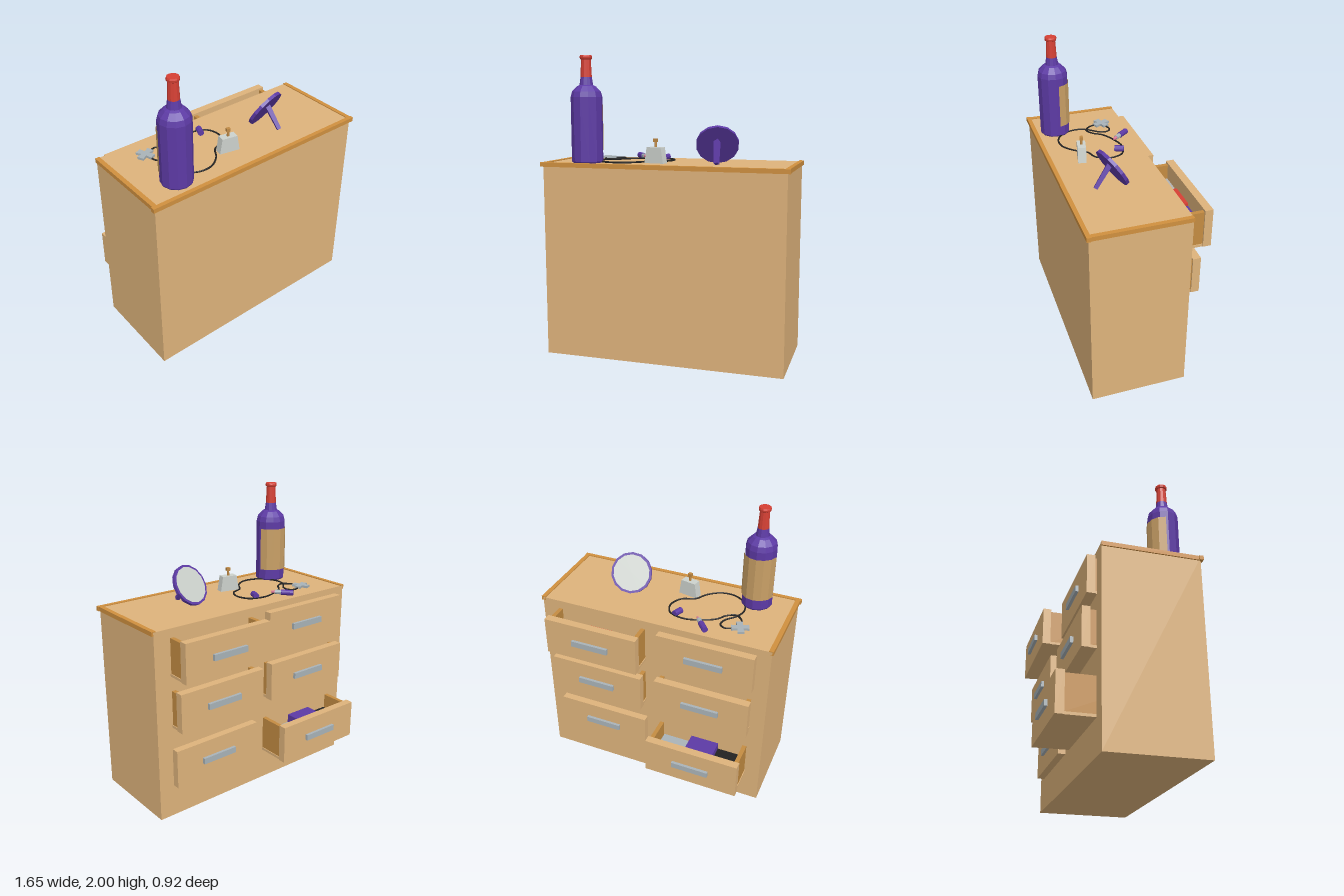
import * as THREE from 'three';

const mat = (color) => new THREE.MeshStandardMaterial({ color, flatShading: true });
const M = {
  wood: mat(0xdeb37b), trim: mat(0xd0903f), side: mat(0xc48c42), silver: mat(0xa9b3b8),
  purple: mat(0x5d3aa5), red: mat(0xd64034), black: mat(0x222222), grey: mat(0xb4b4b4),
  glass: mat(0xcdd2cd), label: mat(0xc9a066), pink: mat(0xe07a9a), stopper: mat(0xc08a45),
};
const TOP = 1.3; // height of the dresser top

function add(parent, name, geometry, material, x = 0, y = 0, z = 0) {
  const mesh = new THREE.Mesh(geometry, material);
  mesh.name = name;
  mesh.position.set(x, y, z);
  parent.add(mesh);
  return mesh;
}

// box given by its minimum and maximum on each axis
function box(parent, name, material, [x0, x1], [y0, y1], [z0, z1]) {
  return add(parent, name, new THREE.BoxGeometry(x1 - x0, y1 - y0, z1 - z0), material,
    (x0 + x1) / 2, (y0 + y1) / 2, (z0 + z1) / 2);
}

// straight rod from a to b
function rod(parent, name, material, a, b, r0, r1 = r0, sides = 10) {
  const p = new THREE.Vector3(...a), q = new THREE.Vector3(...b);
  const dir = q.clone().sub(p);
  const mesh = add(parent, name, new THREE.CylinderGeometry(r1, r0, dir.length(), sides), material);
  mesh.position.copy(p).add(q).multiplyScalar(0.5);
  mesh.quaternion.setFromUnitVectors(new THREE.Vector3(0, 1, 0), dir.normalize());
  return mesh;
}

function subgroup(parent, name, x, y, z, yaw = 0) {
  const g = new THREE.Group();
  g.name = name;
  g.position.set(x, y, z);
  g.rotation.set(0, yaw, 0, 'YXZ');
  parent.add(g);
  return g;
}

// open drawer: origin at the bottom centre of its front panel's outer face
function drawer(parent, x, y, z, contents = []) {
  const g = subgroup(parent, 'drawer', x, y, z);
  const w = 0.33, h = 0.265, back = 0.6;
  box(g, 'drawerFront', M.wood, [-w, w], [0, h], [0, 0.054]);
  box(g, 'drawerHandle', M.silver, [-0.13, 0.13], [0.112, 0.153], [-0.02, 0]);
  box(g, 'drawerBottom', M.wood, [-w + 0.005, w - 0.005], [0, 0.018], [0.054, back]);
  for (const s of [-1, 1]) {
    const xs = [s * 0.32, s * 0.292].sort((a, b) => a - b);
    box(g, 'drawerSide', M.side, xs, [0.018, h - 0.015], [0.054, back]);
  }
  box(g, 'drawerBack', M.side, [-0.292, 0.292], [0.018, h - 0.015], [back - 0.03, back]);
  contents.forEach(([name, material, x0, x1, top]) =>
    box(g, name, material, [x0, x1], [0.018, top], [0.056, back - 0.03]));
}

function dresser(root) {
  const g = subgroup(root, 'dresser', 0, 0, 0);
  box(g, 'cabinet', M.wood, [-0.808, 0.804], [0, TOP], [-0.205, 0.44]);
  // raised edging on three sides of the top
  for (const s of [-1, 1]) {
    const xs = [s * 0.787, s * 0.817].sort((a, b) => a - b);
    box(g, 'sideTrim', M.trim, xs, [1.277, 1.306], [-0.205, 0.43]);
  }
  box(g, 'frontTrim', M.trim, [-0.825, 0.822], [1.277, 1.306], [0.427, 0.455]);

  // two columns of drawers, pulled out by different amounts
  drawer(g, -0.388, 0.995, -0.27);
  drawer(g, -0.385, 0.64, -0.298);
  drawer(g, -0.382, 0.222, -0.444, [
    ['foldedBlackCloth', M.black, -0.285, -0.118, 0.15],
    ['foldedPurpleCloth', M.purple, -0.118, 0.08, 0.2],
    ['foldedGreyCloth', M.silver, 0.08, 0.288, 0.14]]);
  drawer(g, 0.367, 0.99, -0.38, [
    ['foldedGreyCloth', M.grey, -0.288, -0.117, 0.15],
    ['foldedRedCloth', M.red, -0.117, 0.078, 0.17],
    ['foldedPurpleCloth', M.purple, 0.078, 0.29, 0.15]]);
  drawer(g, 0.367, 0.64, -0.32);
  drawer(g, 0.367, 0.222, -0.255);
}

function bottle(root) {
  const g = subgroup(root, 'bottle', -0.552, TOP, 0.3);
  const lathe = (name, pts, material) =>
    add(g, name, new THREE.LatheGeometry(pts.map(p => new THREE.Vector2(...p)), 12), material);
  lathe('bottleGlass', [[0, 0], [0.098, 0], [0.104, 0.01], [0.104, 0.43], [0.095, 0.465],
    [0.062, 0.5], [0.045, 0.508], [0.037, 0.56], [0, 0.56]], M.purple);
  lathe('bottleFoil', [[0, 0.56], [0.037, 0.56], [0.032, 0.672], [0.039, 0.677],
    [0.041, 0.69], [0.037, 0.7], [0, 0.7]], M.red);
  const label = M.label.clone();
  label.side = THREE.DoubleSide;
  add(g, 'bottleLabel', new THREE.CylinderGeometry(0.109, 0.109, 0.3, 6, 1, true,
    Math.PI * 0.55, Math.PI * 0.9), label, 0, 0.23, 0);
}

function mirror(root) {
  const g = subgroup(root, 'standMirror', 0.296, 1.424, 0.135, 0.25);
  g.rotation.x = 0.53;
  const disc = (name, r, depth, material, z) =>
    add(g, name, new THREE.CylinderGeometry(r, r, depth, 14).rotateX(Math.PI / 2), material, 0, 0, z);
  disc('mirrorFrame', 0.141, 0.022, M.purple, 0);
  disc('mirrorGlass', 0.125, 0.004, M.glass, -0.0115);
  // prop behind the disc
  rod(root, 'mirrorProp', M.purple, [0.297, 1.455, 0.15], [0.32, 1.308, 0.255], 0.024, 0.018, 4);
}

function perfume(root) {
  const g = subgroup(root, 'perfume', -0.098, TOP, 0.228, -0.2);
  const flask = new THREE.BoxGeometry(0.14, 0.105, 0.056);
  const p = flask.attributes.position;
  for (let i = 0; i < p.count; i++) if (p.getY(i) > 0) p.setX(i, p.getX(i) * 0.76);
  add(g, 'perfumeFlask', flask, M.glass, 0, 0.0525, 0);
  rod(g, 'perfumeStem', M.stopper, [0, 0.105, 0], [0, 0.14, 0], 0.008, 0.008, 6);
  add(g, 'perfumeStopper', new THREE.BoxGeometry(0.026, 0.022, 0.022), M.stopper, 0, 0.15, 0);
}

function lipstick(root) {
  const g = subgroup(root, 'lipstick', 0, TOP + 0.02, 0);
  rod(g, 'lipstickBase', M.purple, [-0.355, 0, -0.168], [-0.303, 0, -0.104], 0.02);
  rod(g, 'lipstickTube', M.silver, [-0.303, 0, -0.104], [-0.276, 0, -0.07], 0.016);
  rod(g, 'lipstickTip', M.pink, [-0.276, 0, -0.07], [-0.259, 0, -0.049], 0.012, 0.007);
  rod(g, 'lipstickCap', M.purple, [-0.106, 0, -0.072], [-0.129, 0, -0.012], 0.021);
}

function necklace(root) {
  const g = subgroup(root, 'necklace', 0, TOP, 0);
  const path = [[-0.53, -0.04], [-0.535, 0.035], [-0.48, 0.09], [-0.42, 0.06], [-0.38, 0.005],
    [-0.32, -0.035], [-0.175, -0.08], [-0.065, -0.045], [-0.033, 0.045], [-0.073, 0.135],
    [-0.16, 0.175], [-0.215, 0.255], [-0.3, 0.315], [-0.395, 0.315], [-0.475, 0.26],
    [-0.51, 0.155], [-0.485, 0.08], [-0.425, 0.005], [-0.417, -0.05], [-0.45, -0.077],
    [-0.505, -0.06]].map(([x, z]) => new THREE.Vector3(x, 0.006, z));
  add(g, 'necklaceCord', new THREE.TubeGeometry(
    new THREE.CatmullRomCurve3(path, true), 140, 0.006, 6, true), M.black);

  // pendant: four flared arms
  const shape = new THREE.Shape();
  for (let k = 0; k < 4; k++) {
    const c = Math.cos(k * Math.PI / 2), s = Math.sin(k * Math.PI / 2);
    for (const [x, y] of [[0.018, -0.018], [0.058, -0.023], [0.058, 0.023], [0.018, 0.018]]) {
      const px = x * c - y * s, py = x * s + y * c;
      if (k === 0 && y === -0.018) shape.moveTo(px, py);
      else shape.lineTo(px, py);
    }
  }
  const geo = new THREE.ExtrudeGeometry(shape, { depth: 0.016, bevelEnabled: false });
  add(g, 'crossPendant', geo.rotateX(-Math.PI / 2), M.silver, -0.548, 0.002, -0.042).rotation.y = 0.4;
}

export function createModel() {
  const root = new THREE.Group();
  root.name = 'dresserWithVanityItems';
  [dresser, bottle, mirror, perfume, lipstick, necklace].forEach(build => build(root));
  return root;
}
